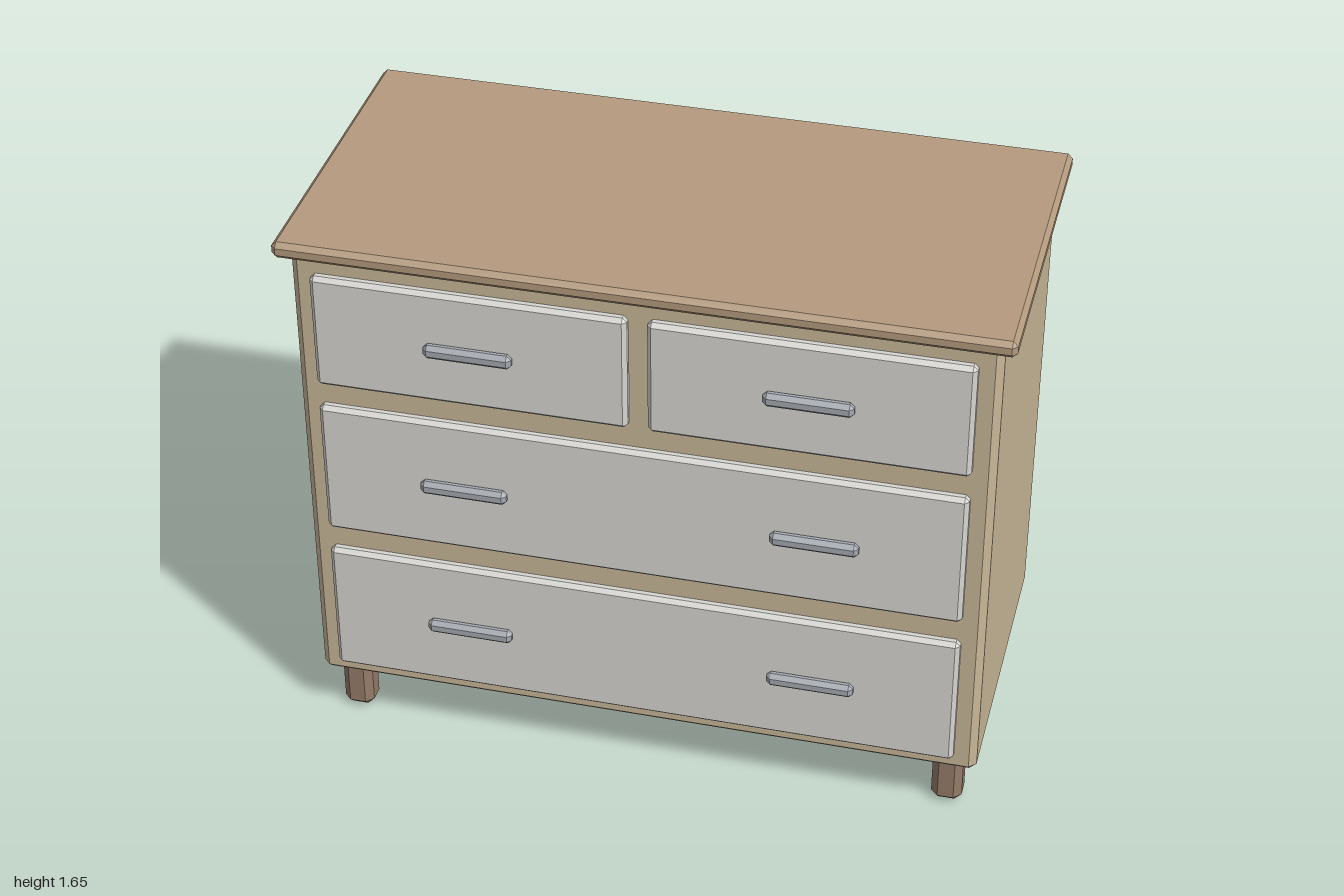
import * as THREE from 'three';
import { ConvexGeometry } from 'three/addons/geometries/ConvexGeometry.js';

const paint = (color) => new THREE.MeshStandardMaterial({ color, flatShading: true });
const cream = paint(0xc8b698);
const wood = paint(0xb49a7e);
const legWood = paint(0x957b68);
const white = paint(0xd6d5d1);
const steel = paint(0xa4a9b0);

// Box with every edge chamfered, given by its min and max corners
function chamferBox(name, material, min, max, bevel) {
  const half = min.map((v, i) => (max[i] - v) / 2);
  const points = [];
  for (const sx of [-1, 1]) for (const sy of [-1, 1]) for (const sz of [-1, 1]) {
    for (let full = 0; full < 3; full++) {
      const c = [sx, sy, sz].map((s, i) => s * (half[i] - (i === full ? 0 : bevel)));
      points.push(new THREE.Vector3(...c));
    }
  }
  const mesh = new THREE.Mesh(new ConvexGeometry(points), material);
  mesh.position.set(...min.map((v, i) => (v + max[i]) / 2));
  mesh.name = name;
  return mesh;
}

// Drawer front with bar handles at the given x positions
function drawer(name, x0, x1, y0, y1, handleY, handleXs) {
  const group = new THREE.Group();
  group.name = name;
  group.add(chamferBox('drawerFront', white, [x0, y0, 0.42], [x1, y1, 0.47], 0.012));
  for (const x of handleXs) {
    group.add(chamferBox('handle', steel,
      [x - 0.123, handleY - 0.021, 0.462], [x + 0.123, handleY + 0.021, 0.496], 0.012));
  }
  return group;
}

export function createModel() {
  const model = new THREE.Group();
  model.name = 'chestOfDrawers';

  // Carcass and overhanging top
  model.add(chamferBox('body', cream, [-0.963, 0.163, -0.467], [0.963, 1.603, 0.444], 0.02));
  model.add(chamferBox('top', wood, [-1, 1.6, -0.496], [1, 1.649, 0.486], 0.014));

  // Two small drawers over two wide ones
  model.add(drawer('topRightDrawer', -0.905, -0.03, 1.197, 1.547, 1.371, [-0.466]));
  model.add(drawer('topLeftDrawer', 0.025, 0.9, 1.197, 1.547, 1.371, [0.464]));
  model.add(drawer('middleDrawer', -0.905, 0.9, 0.707, 1.127, 0.915, [-0.494, 0.49]));
  model.add(drawer('bottomDrawer', -0.905, 0.9, 0.215, 0.635, 0.424, [-0.494, 0.49]));

  // Four stubby legs
  for (const x of [-0.88, 0.877]) for (const z of [-0.381, 0.358]) {
    model.add(chamferBox('leg', legWood, [x - 0.044, 0, z - 0.044], [x + 0.044, 0.166, z + 0.044], 0.021));
  }
  return model;
}
